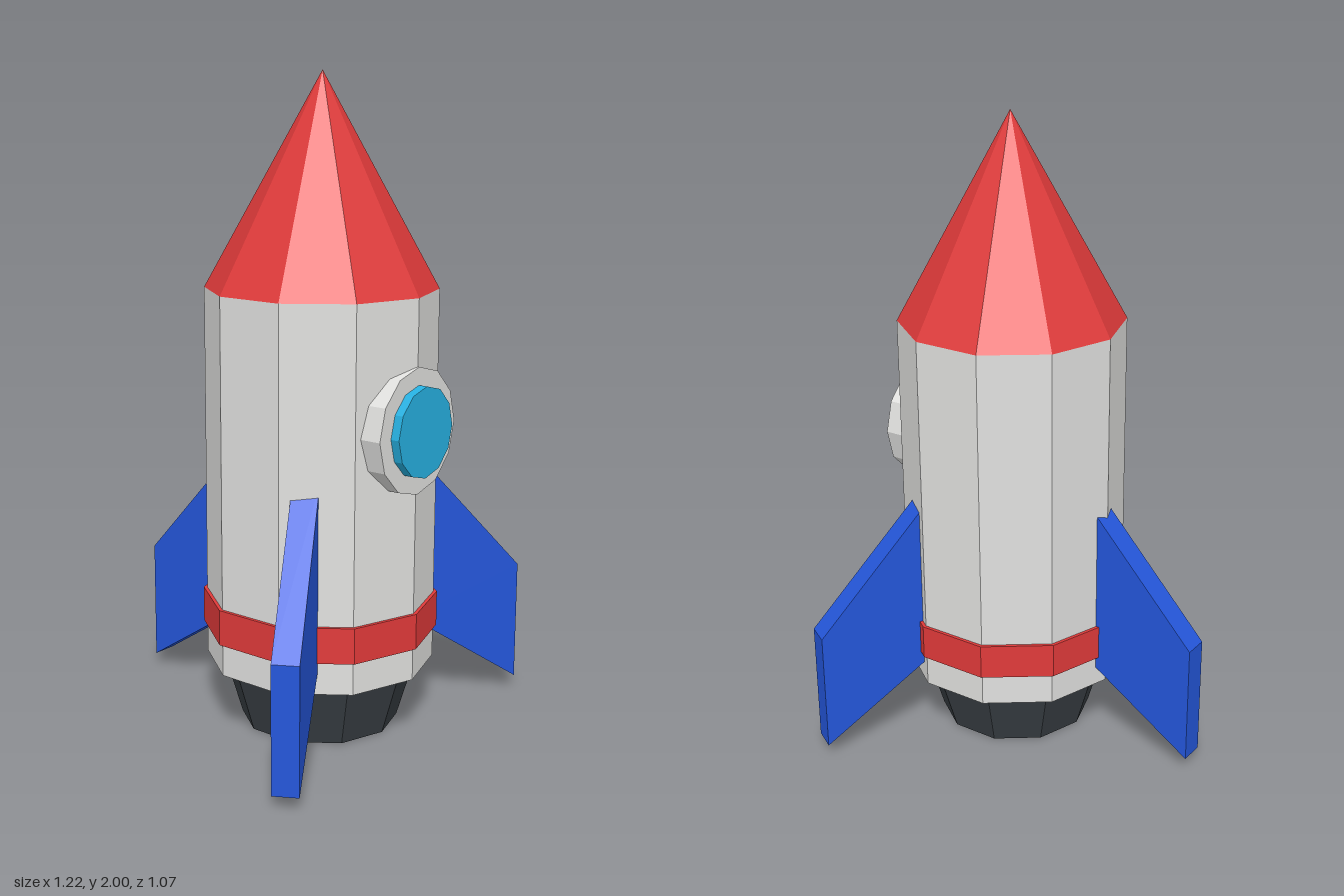
import * as THREE from 'three';

const AXIS_Z = 0.146; // the hull axis sits forward of the centre because of the rear fin
const SIDES = 10;

function material(name, color) {
  const m = new THREE.MeshStandardMaterial({ color, flatShading: true });
  m.name = name;
  return m;
}

export function createModel() {
  const white = material('hull white', 0xe0e0de);
  const red = material('red', 0xe03a3a);
  const blue = material('fin blue', 0x2456da);
  const glassBlue = material('glass blue', 0x26b0e0);
  const charcoal = material('nozzle charcoal', 0x393f44);

  const rocket = new THREE.Group();
  rocket.name = 'rocket';
  const axis = new THREE.Group();
  axis.name = 'rocketBody';
  axis.position.z = AXIS_Z;
  rocket.add(axis);

  const add = (name, geometry, mat) => {
    const mesh = new THREE.Mesh(geometry, mat);
    mesh.name = name;
    axis.add(mesh);
    return mesh;
  };

  // Ten-sided section between two heights
  const section = (name, rBottom, rTop, y0, y1, mat) => {
    const mesh = add(name, new THREE.CylinderGeometry(rTop, rBottom, y1 - y0, SIDES), mat);
    mesh.position.y = (y0 + y1) / 2;
  };
  section('nozzle', 0.245, 0.305, 0, 0.2, charcoal);
  section('hull', 0.354, 0.354, 0.2, 1.36, white);
  section('band', 0.365, 0.365, 0.3, 0.41, red);

  const nose = add('noseCone', new THREE.ConeGeometry(0.354, 0.64, SIDES), red);
  nose.position.y = 1.68;

  // Round window: frame sunk into the hull, glass standing proud of it
  const disc = (name, radius, z0, z1, mat) => {
    const geometry = new THREE.CylinderGeometry(radius, radius, z1 - z0, 12);
    geometry.rotateX(Math.PI / 2);
    const mesh = add(name, geometry, mat);
    mesh.position.set(0, 0.97, (z0 + z1) / 2 - AXIS_Z);
  };
  disc('windowFrame', 0.191, 0.4, 0.505, white);
  disc('windowGlass', 0.137, 0.45, 0.533, glassBlue);

  // Three swept fins, profile drawn outward from the axis
  const profile = new THREE.Shape([
    [0.3, 0.288], [0.679, 0.04], [0.679, 0.425], [0.3, 0.837],
  ].map(([x, y]) => new THREE.Vector2(x, y)));
  const finGeometry = new THREE.ExtrudeGeometry(profile, { depth: 0.08, bevelEnabled: false });
  finGeometry.translate(0, 0, -0.04);
  [['backFin', 90], ['leftFin', -30], ['rightFin', 210]].forEach(([name, degrees]) => {
    add(name, finGeometry, blue).rotation.y = THREE.MathUtils.degToRad(degrees);
  });

  return rocket;
}
